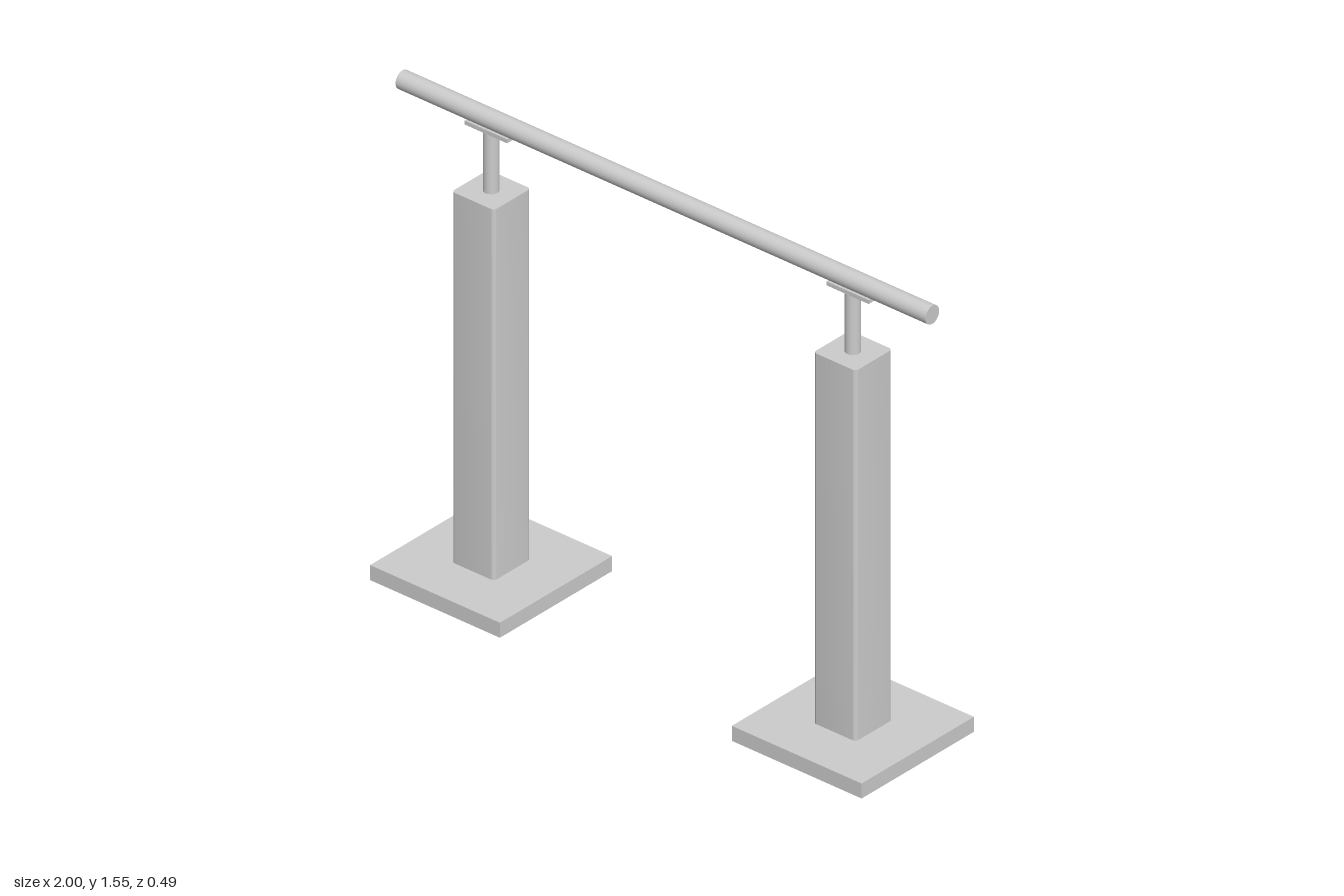
import * as THREE from 'three';
import { toCreasedNormals } from 'three/addons/utils/BufferGeometryUtils.js';

const material = new THREE.MeshStandardMaterial({ color: 0xcccccc });

function addPart(parent, name, geometry, x, y, z) {
  const mesh = new THREE.Mesh(geometry, material);
  mesh.name = name;
  mesh.position.set(x, y, z);
  parent.add(mesh);
  return mesh;
}

// Upright square tube with slightly rounded vertical edges, standing on y = 0
function roundedPost(width, height, radius) {
  const h = width / 2, c = h - radius;
  const shape = new THREE.Shape();
  shape.absarc(c, c, radius, 0, Math.PI / 2);
  shape.absarc(-c, c, radius, Math.PI / 2, Math.PI);
  shape.absarc(-c, -c, radius, Math.PI, Math.PI * 1.5);
  shape.absarc(c, -c, radius, Math.PI * 1.5, Math.PI * 2);
  shape.closePath();
  const geometry = new THREE.ExtrudeGeometry(shape, { depth: height, bevelEnabled: false, curveSegments: 6 });
  geometry.rotateX(-Math.PI / 2);
  return toCreasedNormals(geometry, Math.PI / 5);
}

// One complete support: foot plate, post, pin and the saddle under the rail
function createSupport(name, x) {
  const support = new THREE.Group();
  support.name = name;
  support.position.x = x;
  addPart(support, 'basePlate', new THREE.BoxGeometry(0.49, 0.05, 0.49), 0, 0.025, 0);
  addPart(support, 'post', roundedPost(0.16, 1.233, 0.012), 0, 0.05, 0);
  addPart(support, 'pin', new THREE.CylinderGeometry(0.024, 0.024, 0.2, 32), 0, 1.381, 0);
  addPart(support, 'saddlePlate', new THREE.BoxGeometry(0.16, 0.013, 0.046), 0, 1.4865, 0);
  return support;
}

export function createModel() {
  const model = new THREE.Group();
  model.name = 'handrail';
  model.add(createSupport('rightSupport', -0.665), createSupport('leftSupport', 0.7));

  // Round rail lying across both supports
  const rail = addPart(model, 'rail', new THREE.CylinderGeometry(0.03, 0.03, 2, 48), 0, 1.52, 0);
  rail.rotation.z = Math.PI / 2;
  return model;
}
